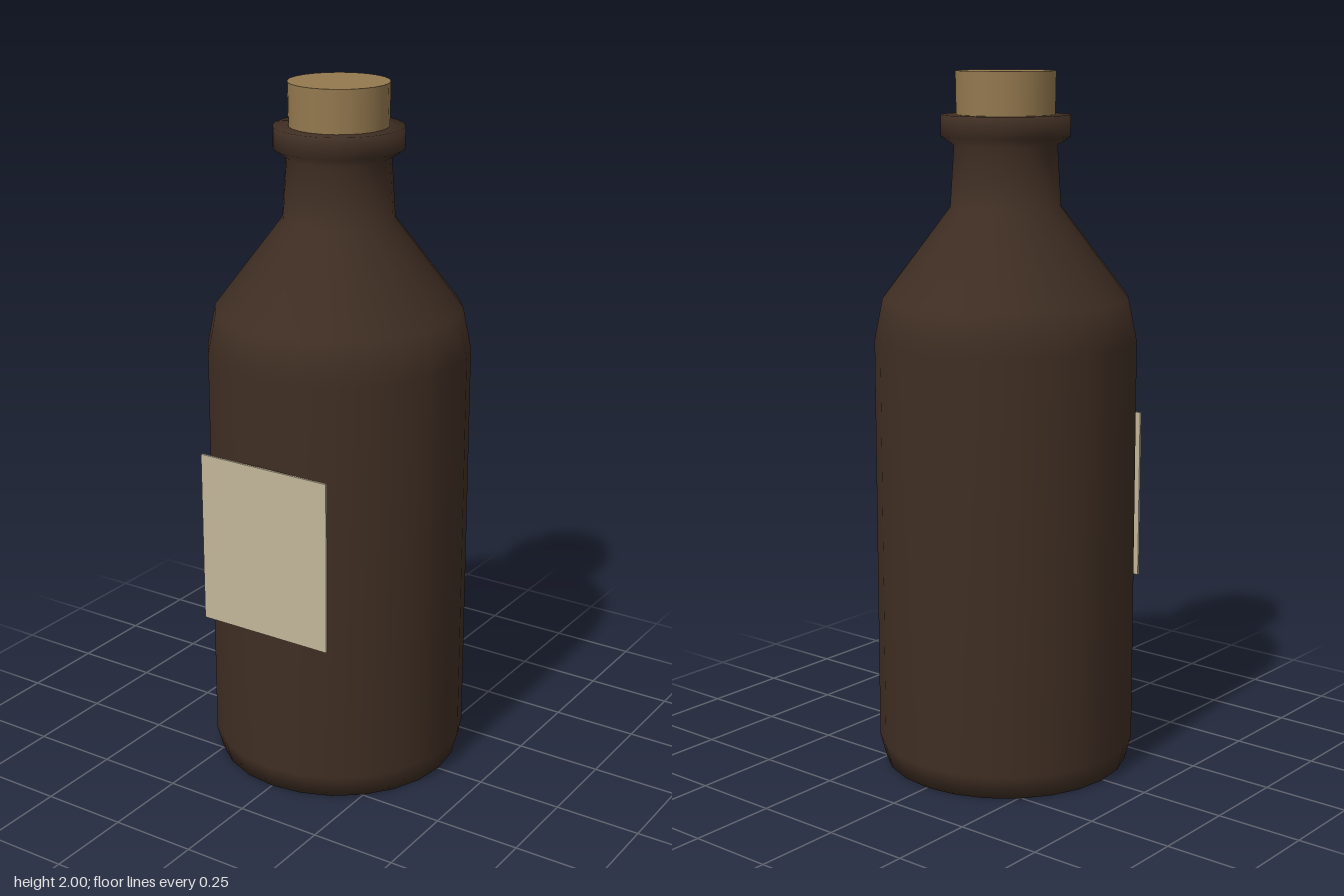
import * as THREE from 'three';

const SIDES = 24;
const CENTRE_Z = -0.005;

export function createModel() {
  const glass = new THREE.MeshStandardMaterial({ color: 0x3f2e23 });
  glass.name = 'dark brown glass';
  const corkMaterial = new THREE.MeshStandardMaterial({ color: 0x94794f });
  corkMaterial.name = 'cork tan';
  const paper = new THREE.MeshStandardMaterial({ color: 0xc2b699 });
  paper.name = 'aged paper';

  const model = new THREE.Group();
  model.name = 'bottle';

  function add(name, geometry, material, x, y, z) {
    const mesh = new THREE.Mesh(geometry, material);
    mesh.name = name;
    mesh.position.set(x, y, z);
    model.add(mesh);
  }

  // Body, shoulder, neck and lip as one turned profile (radius, height)
  const profile = [
    [0, 0], [0.355, 0], [0.374, 0.07], [0.374, 1.25], [0.35, 1.37],
    [0.157, 1.625], [0.146, 1.795], [0.182, 1.82], [0.182, 1.88], [0.13, 1.88],
  ].map(([r, y]) => new THREE.Vector2(r, y));
  add('glassBody', new THREE.LatheGeometry(profile, SIDES), glass, 0, 0, CENTRE_Z);

  // Stopper sunk into the neck
  add('cork', new THREE.CylinderGeometry(0.141, 0.138, 0.19, SIDES), corkMaterial, 0, 1.905, CENTRE_Z);

  // Flat label just in front of the body
  add('label', new THREE.BoxGeometry(0.416, 0.5, 0.007), paper, 0, 0.75, 0.3735);

  return model;
}
